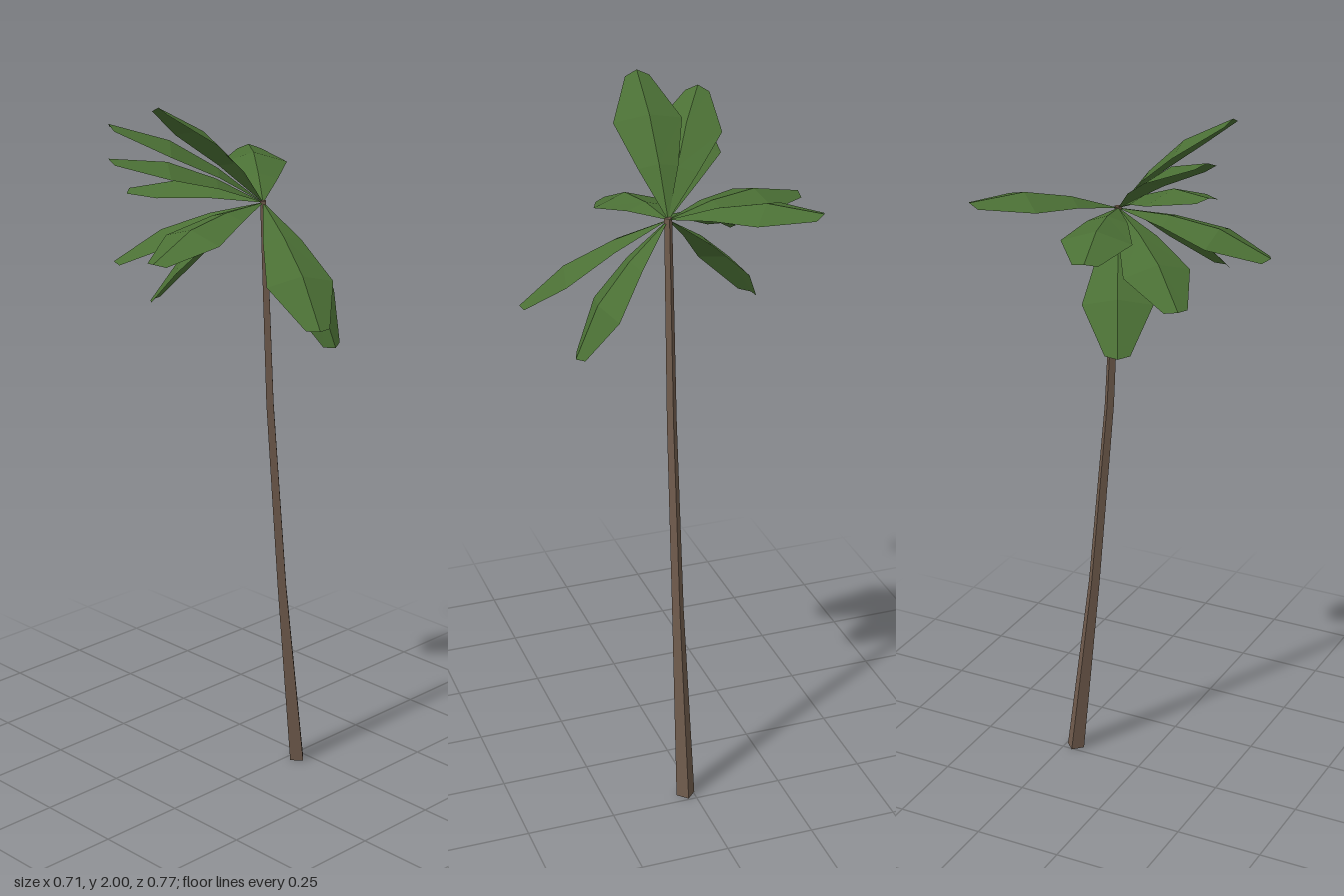
import * as THREE from 'three';

const HUB = new THREE.Vector3(0.07, 1.7, 0.023);

// Tip position of every frond
const TIPS = [
  [0.333, 1.77, -0.3],
  [-0.043, 1.69, -0.385],
  [-0.272, 1.995, -0.01],
  [-0.285, 1.93, -0.188],
  [-0.29, 1.84, -0.185],
  [-0.232, 1.545, -0.238],
  [-0.075, 1.4, -0.268],
  [-0.357, 1.615, 0.057],
  [-0.083, 1.45, 0.385],
  [0.083, 1.35, 0.283],
];

// Cross-sections along a frond: position, half width, arch height, edge drop
const SECTIONS = [
  [0, 0.001, 0, 0],
  [0.33, 0.054, 0.027, 0.017],
  [0.65, 0.093, 0.034, 0.03],
  [1, 0.033, 0, 0.008],
];

// A folded, arched blade with a raised centre rib and a blunt tip
function makeFrond(tip, material) {
  const axis = new THREE.Vector3(...tip).sub(HUB);
  const side = new THREE.Vector3(-axis.z, 0, axis.x).normalize();
  const normal = side.clone().cross(axis).normalize();
  const points = [];
  for (const [t, w, arch, drop] of SECTIONS) {
    for (const s of [-1, 0, 1]) {
      const along = t === 1 && s !== 0 ? 0.97 : t;
      const p = HUB.clone().addScaledVector(axis, along)
        .addScaledVector(side, s * w)
        .addScaledVector(normal, arch - Math.abs(s) * drop);
      points.push(p.x, p.y, p.z);
    }
  }
  const index = [];
  for (let i = 0; i < SECTIONS.length - 1; i++) {
    for (let j = 0; j < 2; j++) {
      const a = i * 3 + j, b = a + 1, c = a + 3, d = a + 4;
      // mirrored diagonals keep both halves alike
      if (j === 0) index.push(a, b, c, b, d, c);
      else index.push(a, b, d, a, d, c);
    }
  }
  const geometry = new THREE.BufferGeometry();
  geometry.setAttribute('position', new THREE.Float32BufferAttribute(points, 3));
  geometry.setIndex(index);
  // orient the faces upward
  const flat = geometry.toNonIndexed();
  flat.computeVertexNormals();
  if (new THREE.Vector3().fromBufferAttribute(flat.attributes.normal, 12).dot(normal) < 0) {
    geometry.setIndex(index.reverse());
  }
  const out = geometry.toNonIndexed();
  out.computeVertexNormals();
  return new THREE.Mesh(out, material);
}

// Four-sided trunk, bent and tapered ring by ring
function makeTrunk(material) {
  const rings = [ // y, x, radius
    [1.705, 0.07, 0.011],
    [1.13, 0.1, 0.014],
    [0.57, 0.152, 0.017],
    [0, 0.219, 0.027],
  ];
  const geometry = new THREE.CylinderGeometry(1, 1, 3, 4, 3);
  const pos = geometry.attributes.position;
  for (let i = 0; i < pos.count; i++) {
    const [y, x, r] = rings[Math.round(1.5 - pos.getY(i))];
    pos.setXYZ(i, x + pos.getX(i) * r, y, HUB.z + pos.getZ(i) * r);
  }
  const flat = geometry.toNonIndexed();
  flat.computeVertexNormals();
  return new THREE.Mesh(flat, material);
}

export function createModel() {
  const bark = new THREE.MeshStandardMaterial({ color: 0x6f5b4c, flatShading: true });
  bark.name = 'bark brown';
  const leaf = new THREE.MeshStandardMaterial({ color: 0x4b7035, flatShading: true, side: THREE.DoubleSide });
  leaf.name = 'leaf green';

  const model = new THREE.Group();
  model.name = 'palmTree';
  const trunk = makeTrunk(bark);
  trunk.name = 'trunk';
  model.add(trunk);

  const crown = new THREE.Group();
  crown.name = 'crown';
  TIPS.forEach((tip, i) => {
    const frond = makeFrond(tip, leaf);
    frond.name = `frond${i + 1}`;
    crown.add(frond);
  });
  model.add(crown);
  return model;
}
